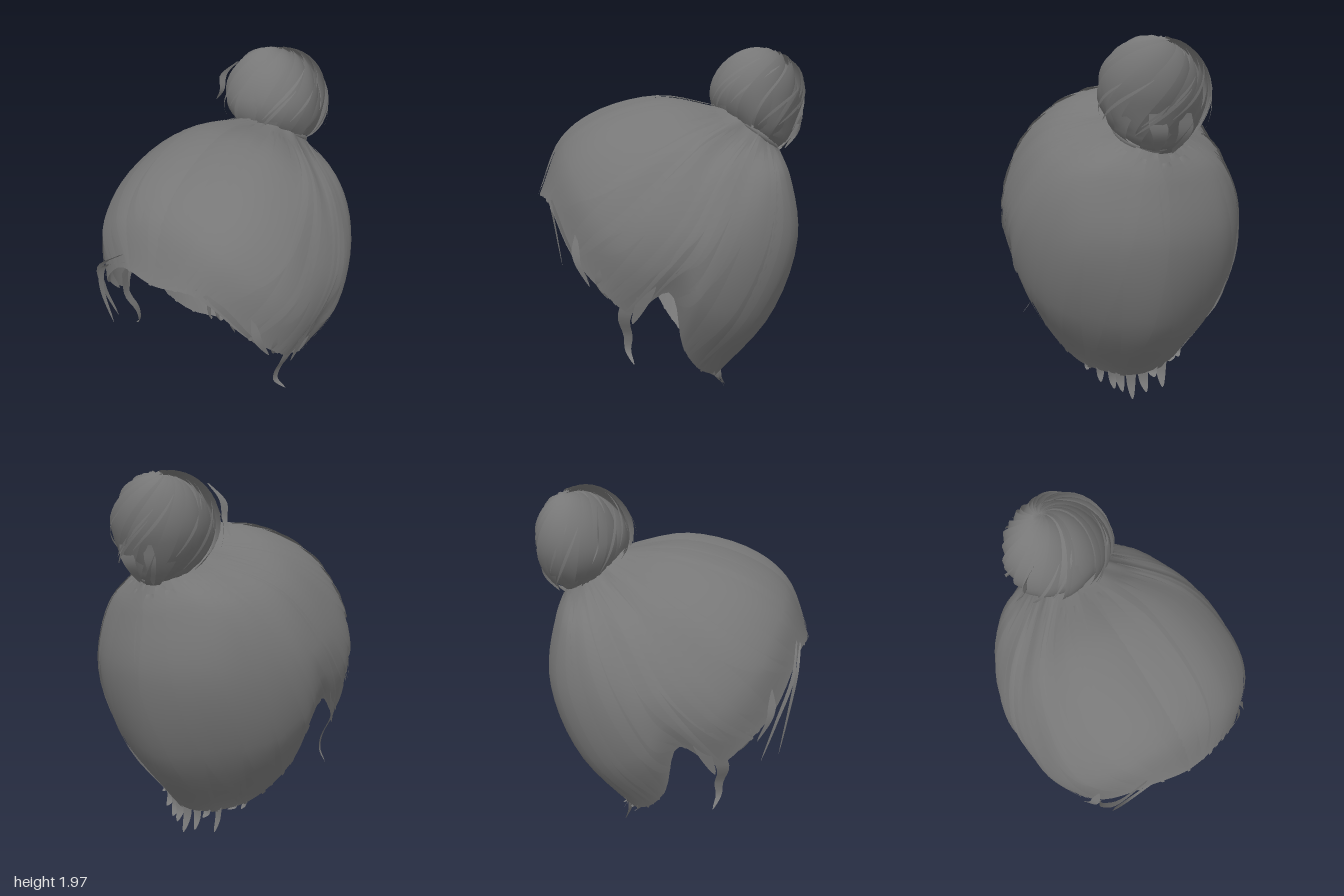
import * as THREE from 'three';
import { ParametricGeometry } from 'three/addons/geometries/ParametricGeometry.js';

const V = (x, y, z) => new THREE.Vector3(x, y, z);
const lerp = THREE.MathUtils.lerp;
const hair = new THREE.MeshStandardMaterial({ color: 0x777777, side: THREE.DoubleSide });

function seeded(seed) {
  return () => {
    seed = (seed * 16807) % 2147483647;
    return seed / 2147483647;
  };
}

// Left-half strand lines, front to back: each runs from the hair tie to the hairline.
const lines = [
  [[0, 1.66, -.26], [0, 1.72, .08], [0, 1.635, .42], [0, 1.495, .61], [0, 1.2, .74]],
  [[.08, 1.655, -.28], [.22, 1.68, .05], [.28, 1.575, .4], [.29, 1.41, .59], [.22, 1.2, .7]],
  [[.12, 1.63, -.31], [.38, 1.575, 0], [.5, 1.41, .3], [.515, 1.2, .49], [.44, .96, .59]],
  [[.15, 1.61, -.35], [.45, 1.495, -.05], [.585, 1.25, .2], [.615, 1.02, .34], [.54, .79, .44]],
  [[.16, 1.58, -.38], [.485, 1.415, -.1], [.625, 1.15, .08], [.63, .93, .2], [.55, .68, .31]],
  [[.17, 1.55, -.42], [.495, 1.375, -.18], [.63, 1.1, -.03], [.635, .93, .04], [.59, .79, .12]],
  [[.17, 1.53, -.45], [.475, 1.33, -.28], [.62, 1.05, -.15], [.615, .75, -.05], [.48, .46, .03]],
  [[.16, 1.5, -.48], [.43, 1.3, -.42], [.545, 1, -.36], [.525, .62, -.25], [.36, .28, -.08]],
  [[.12, 1.46, -.54], [.3, 1.3, -.55], [.37, .97, -.575], [.35, .56, -.445], [.25, .2, -.19]],
  [[0, 1.42, -.6], [0, 1.25, -.65], [0, .95, -.685], [0, .52, -.565], [0, .15, -.27]],
];
const mirrored = lines.slice(1, -1).reverse().map(l => l.map(([x, y, z]) => [-x, y, z]));
const curves = [...lines, ...mirrored].map(l => new THREE.CatmullRomCurve3(l.map(p => V(...p))));
const heart = V(0, .95, -.05);

// Point on the head of hair: a goes round the head, t from tie to hairline.
function headPoint(a, t, raise, target) {
  const ring = new THREE.CatmullRomCurve3(curves.map(c => c.getPoint(Math.min(t, 1))), true);
  ring.getPoint(((a % 1) + 1) % 1, target);
  return target.sub(heart).multiplyScalar(1 + raise).add(heart);
}

function patch(parent, name, fn, across, along) {
  const mesh = new THREE.Mesh(new ParametricGeometry(fn, across, along), hair);
  mesh.name = name;
  parent.add(mesh);
}

// Flat strand along a few points, pointed at the tip; root is its relative width at the start.
function wisp(parent, name, points, width, side, root) {
  const path = new THREE.CatmullRomCurve3(points.map(p => V(...p)));
  const dir = V(...side).normalize();
  patch(parent, name, (s, t, out) => {
    path.getPoint(t, out);
    const w = width * (.04 + .96 * Math.pow(1 - t, .6)) * lerp(root, 1, Math.min(1, t * 3));
    out.addScaledVector(dir, (s - .5) * w);
  }, 2, 14);
}

function addGroup(parent, name) {
  const group = new THREE.Group();
  group.name = name;
  parent.add(group);
  return group;
}

export function createModel() {
  const model = new THREE.Group();
  const rand = seeded(4711);

  // Swept-back head of hair
  patch(model, 'hairShell', (s, t, out) => headPoint(s, t, 0, out), 90, 24);

  // Shingled locks that fan from the tie and curve forward to the temples
  const locks = addGroup(model, 'locks');
  const count = 56;
  for (let i = 0; i < count; i++) {
    const a = (i + .5 + (rand() - .5) * .5) / count;
    const width = .016 + rand() * .02;
    const start = rand() * .1;
    const end = rand() < .6 ? 1 : .75 + rand() * .25;
    const drift = -.07 * Math.sin(2 * Math.PI * a) + (rand() - .5) * .02;
    const lift = .004 + rand() * .007;
    patch(locks, 'lock', (s, t, out) => {
      const w = width * (1 - .8 * Math.pow(t, 4)) * (.4 + .6 * Math.min(1, t * 4));
      const edge = a < .5 ? s : 1 - s;
      const raise = lift + (.017 * edge - .006) * Math.sin(Math.PI * Math.pow(t, .8));
      headPoint(a + (s - .5) * w + drift * (t * t - .3), lerp(start, end, t), raise, out);
    }, 4, 18);
  }

  // Lining: two panels at the back with a gap between, ragged locks beside them
  const lining = addGroup(model, 'lining');
  for (const m of [-1, 1]) {
    patch(lining, 'backPanel', (s, t, out) =>
      headPoint(.5 + m * lerp(.004 + .004 * Math.sin(t * 5), .12, s), lerp(.2, 1, t), -.012, out), 10, 14);
    for (let i = 0; i < 4; i++) {
      const a = .5 + m * lerp(.12, .2, i / 3);
      const start = .42 + rand() * .14;
      patch(lining, 'innerLock', (s, t, out) => {
        const w = .04 * Math.min(1, .25 + t * 3);
        headPoint(a + (s - .5) * w, lerp(start, 1, t), -.024 - i * .006, out);
      }, 3, 10);
    }
  }

  // Bun: egg-shaped core, fuller below, wrapped in shingled swirling strands
  const bun = addGroup(model, 'bun');
  bun.position.set(-.02, 1.715, -.475);
  bun.rotation.set(-.3, 0, .14);
  const bunPoint = (phi, az, r, out) => {
    const c = Math.cos(phi);
    const girth = r * (1 - .1 * c) * Math.sin(phi);
    const y = r * c * (c < 0 ? 1.12 : 1.06);
    // the underside slides back over the tie
    return out.set(girth * 1.05 * Math.cos(az), y, girth * .96 * Math.sin(az) - (c < 0 ? .1 * c * c : 0));
  };
  patch(bun, 'bunCore', (s, t, out) => bunPoint(t * Math.PI, s * Math.PI * 2, .235, out), 32, 20);
  const turns = 22;
  for (let i = 0; i < turns; i++) {
    const az0 = (i + rand() * .5) / turns * Math.PI * 2;
    const w = .36 + rand() * .25;
    const lift = rand() * .026 - .01;
    const end = 2.35 + rand() * .5;
    patch(bun, 'bunStrand', (s, t, out) => {
      const phi = lerp(.03, end, t);
      const az = az0 + 2.1 * Math.sqrt(t) + s * w;
      bunPoint(phi, az, .243 + lift * t + .04 * s * Math.sin(Math.PI * Math.min(1, t * 1.1)), out);
    }, 3, 18);
  }
  // Loose hairs around the bun
  for (let i = 0; i < 12; i++) {
    const az0 = i / 12 * Math.PI * 2 + rand();
    const phi0 = .8 + rand() * .6;
    const r = .268 + rand() * .024;
    patch(bun, 'looseBunHair', (s, t, out) => {
      const w = .08 * Math.sin(Math.PI * (.06 + .88 * t));
      bunPoint(phi0 + t * .9 + (s - .5) * w, az0 + t * .9, r, out);
    }, 2, 14);
  }
  wisp(model, 'looseBunStrand', [[-.2, 1.92, -.36], [-.28, 1.83, -.34], [-.29, 1.74, -.34], [-.34, 1.66, -.36]], .05, [1, .2, -.5], .2);
  wisp(model, 'looseBunStrand', [[.06, 1.62, -.7], [.03, 1.52, -.69], [.02, 1.43, -.63]], .12, [1, 0, 0], .5);
  wisp(model, 'looseBunStrand', [[-.1, 1.62, -.7], [-.1, 1.52, -.68], [-.06, 1.42, -.62]], .1, [1, 0, 0], .5);

  // Hair tie at the foot of the bun: two thin turns
  for (const r of [.165, .18]) {
    const tie = new THREE.Mesh(new THREE.TorusGeometry(r, .016, 6, 36), hair);
    tie.name = 'hairTie';
    tie.position.set(0, 1.72 - r, -.425);
    tie.rotation.x = -Math.PI / 2 - .62;
    model.add(tie);
  }

  // Face-framing wisps on the right of the forehead
  wisp(model, 'foreheadWisp', [[-.2, 1.24, .7], [-.36, 1.14, .69], [-.42, .95, .66], [-.4, .69, .62]], .05, [1, .4, -.4], .4);
  wisp(model, 'foreheadWisp', [[-.24, 1.26, .68], [-.4, 1.12, .67], [-.46, .9, .6], [-.44, .66, .53]], .05, [1, .4, -.4], .4);
  wisp(model, 'foreheadWisp', [[.22, 1.24, .69], [.34, 1.15, .66], [.44, 1, .6], [.5, .84, .51]], .05, [1, .6, -.4], .3);

  for (const m of [-1, 1]) {
    // Sideburn curls and ragged temple ends
    wisp(model, 'sideburn', [[m * .57, .78, .29], [m * .53, .65, .34], [m * .48, .53, .315], [m * .47, .45, .315], [m * .52, .39, .29]], .07, [m * .3, 0, -1], 1.5);
    wisp(model, 'templeStrand', [[m * .56, .94, .43], [m * .54, .84, .45], [m * .51, .75, .42]], .1, [m * .4, 0, -1], .1);
    wisp(model, 'templeStrand', [[m * .61, .92, .22], [m * .59, .78, .24], [m * .55, .62, .3]], .12, [m * .2, 0, -1], .1);
    wisp(model, 'templeStrand', [[m * .46, 1.08, .57], [m * .5, .95, .57], [m * .53, .82, .51]], .06, [m * .6, 0, -1], .1);
  }

  // Short wisps along the nape: x, then length below the hairline
  const nape = [[-.28, .1], [-.24, .09], [-.16, .19], [-.1, .1], [-.04, .17], [.03, .2], [.09, .16], [.13, .15], [.19, .13], [.25, .09]];
  for (const [x, drop] of nape) {
    const z = -.275 + 1.5 * x * x;
    const y = .18 + .9 * x * x;
    const lean = (rand() - .3) * .06;
    wisp(model, 'napeWisp', [[x, y + .07, z + .01], [x + lean * .2, y - drop * .4, z + .005], [x + lean, y - drop + .04, z - .025]], .075, [1, 0, -2.2 * x], .9);
  }

  return model;
}
